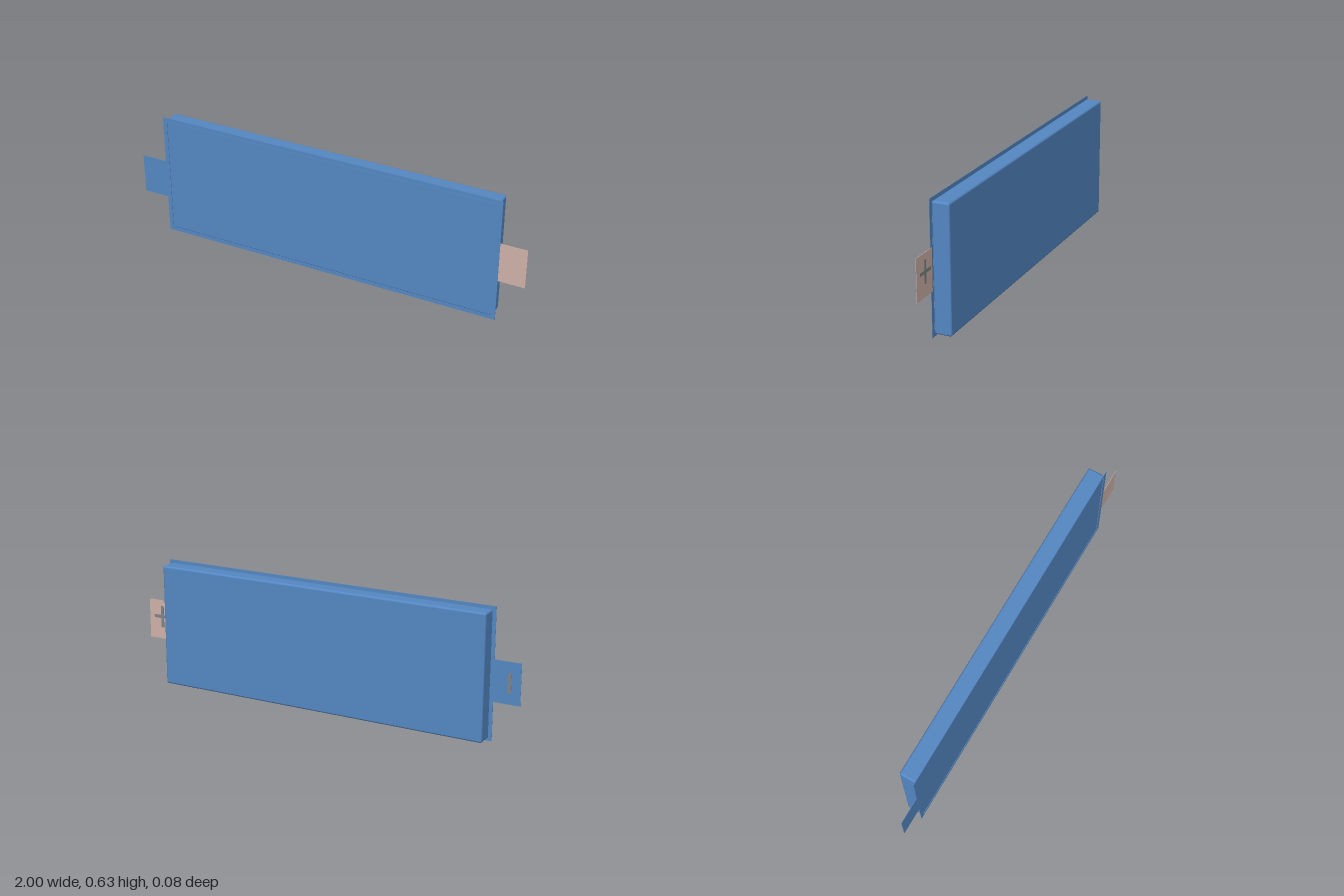
import * as THREE from 'three';
import { RoundedBoxGeometry } from 'three/addons/geometries/RoundedBoxGeometry.js';

const paint = (color) => new THREE.MeshStandardMaterial({ color });

export function createModel() {
  const model = new THREE.Group();
  const blue = paint(0x5588c4), copper = paint(0xd0b2aa), grey = paint(0x808488);

  const add = (name, geometry, material, x, y, z) => {
    const mesh = new THREE.Mesh(geometry, material);
    mesh.name = name;
    mesh.position.set(x, y, z);
    model.add(mesh);
    return mesh;
  };
  const box = (name, material, w, h, d, x, y, z) =>
    add(name, new THREE.BoxGeometry(w, h, d), material, x, y, z);

  // Rounded flat cell body
  add('cellBody', new RoundedBoxGeometry(1.71, 0.607, 0.083, 4, 0.01), blue, 0, 0.317, -0.001);

  // Thin sealing rim around the front edge of the body
  const rect = (target, w, h) => target
    .moveTo(-w, -h).lineTo(w, -h).lineTo(w, h).lineTo(-w, h).closePath();
  const rim = rect(new THREE.Shape(), 0.87, 0.317);
  rim.holes.push(rect(new THREE.Path(), 0.849, 0.298));
  add('sealingRim', new THREE.ExtrudeGeometry(rim, { depth: 0.002, bevelEnabled: false }),
    blue, 0, 0.317, 0.0405);

  // Terminal tabs
  box('positiveTab', copper, 0.14, 0.2, 0.002, 0.93, 0.315, 0.0405);
  box('negativeTab', blue, 0.14, 0.2, 0.002, -0.93, 0.29, 0.0405);

  // Raised polarity marks on the back of the tabs
  box('plusMarkUpright', grey, 0.016, 0.11, 0.003, 0.924, 0.33, 0.0392);
  for (const side of [-1, 1]) {
    box('plusMarkArm', grey, 0.04, 0.016, 0.003, 0.924 + side * 0.028, 0.33, 0.0392);
  }
  box('minusMark', grey, 0.018, 0.095, 0.003, -0.946, 0.29, 0.0392);

  return model;
}
